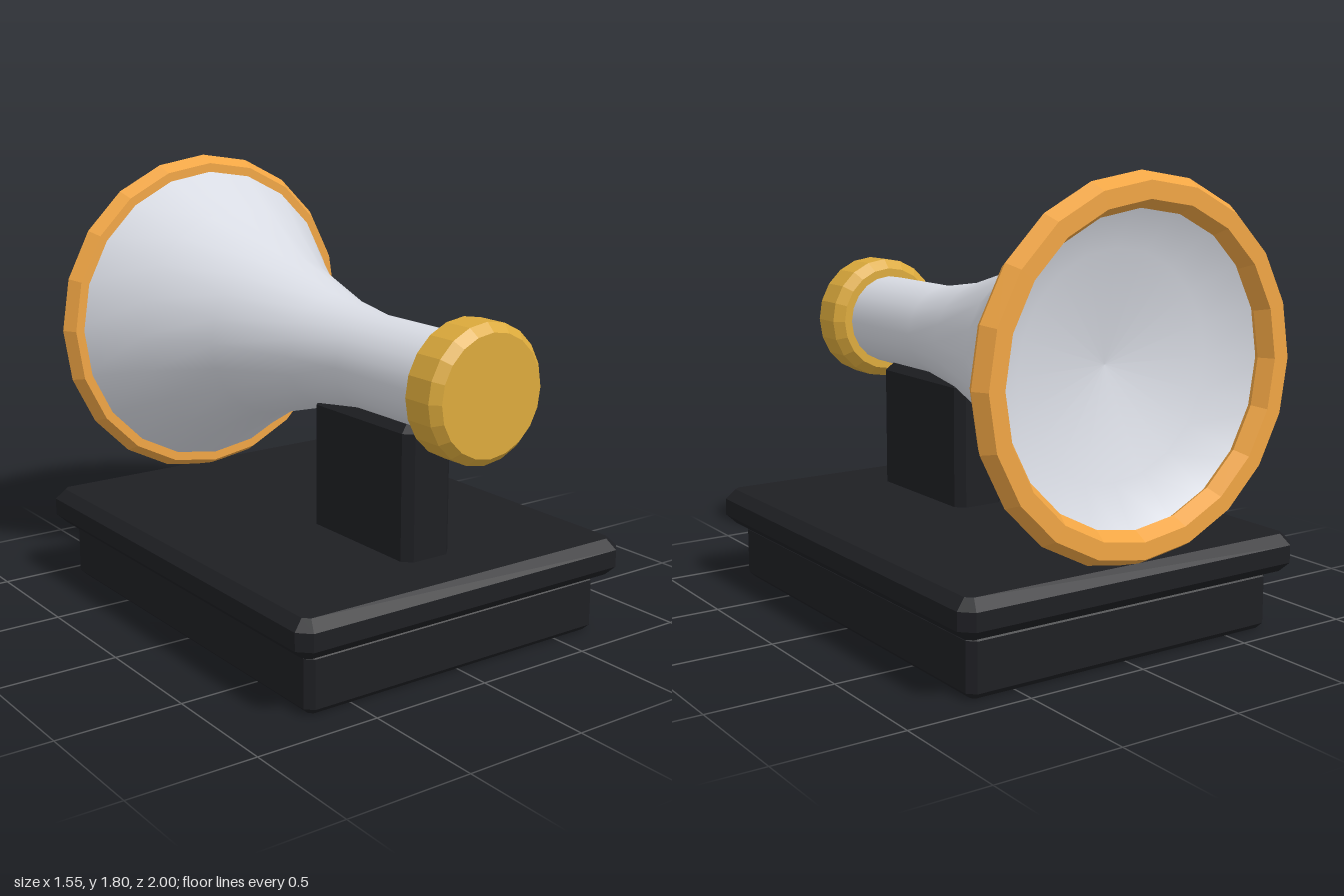
import * as THREE from 'three';

const SIDES = 20;
const AXIS_Y = 1.09;
const paint = (color, flatShading = false) =>
  new THREE.MeshStandardMaterial({ color, flatShading });

export function createModel() {
  const group = new THREE.Group();
  const black = paint(0x1e1f23, true);
  const silver = paint(0xd8dbe3);
  const gold = paint(0xdcaa3c, true);
  const orange = paint(0xf0a544, true);

  const add = (name, geometry, material, x = 0, y = 0, z = 0) => {
    const mesh = new THREE.Mesh(geometry, material);
    mesh.name = name;
    mesh.position.set(x, y, z);
    group.add(mesh);
  };

  // Box with every edge chamfered by c, standing on y = 0
  const chamferBox = (w, h, d, c) => {
    const a = w / 2 - c, b = d / 2 - c, k = c * 0.6;
    const outline = [
      [a, -b + k], [a, b - k], [a - k, b], [-a + k, b],
      [-a, b - k], [-a, -b + k], [-a + k, -b], [a - k, -b],
    ].map(([x, y]) => new THREE.Vector2(x, y));
    const geometry = new THREE.ExtrudeGeometry(new THREE.Shape(outline), {
      depth: h - 2 * c, bevelSize: c, bevelThickness: c, bevelSegments: 1,
    });
    return geometry.rotateX(-Math.PI / 2).translate(0, c, 0);
  };

  // Turned part along z from [radius, z] pairs
  const turned = (profile) => new THREE.LatheGeometry(
    profile.map(([r, z]) => new THREE.Vector2(r, z)), SIDES).rotateX(Math.PI / 2);

  // Two-step base and the post
  add('basePlinth', chamferBox(1.4, 0.24, 1.785, 0.025), black, 0, 0, -0.027);
  add('baseSlab', chamferBox(1.55, 0.15, 1.94, 0.04), black, 0, 0.24, -0.03);
  add('post', chamferBox(0.23, 0.56, 0.62, 0.03), black, 0, 0.36, 0.362);

  // Flared horn
  add('hornBody', turned([
    [0.66, -0.92], [0.5, -0.645], [0.34, -0.34], [0.23, 0.05], [0.19, 0.32], [0.19, 0.85],
  ]), silver, 0, AXIS_Y);

  // Shallow inside of the bell
  add('hornInside', turned([[0, -0.75], [0.43, -0.81], [0.645, -0.94]]), silver, 0, AXIS_Y);

  // Bell rim
  add('hornRim', new THREE.TorusGeometry(0.645, 0.066, 6, SIDES), orange, 0, AXIS_Y, -0.943);

  // Mouthpiece cap
  add('mouthpiece', turned([
    [0, 0.8], [0.225, 0.8], [0.263, 0.838], [0.263, 0.965], [0.23, 1], [0, 1],
  ]), gold, 0, AXIS_Y);

  return group;
}
